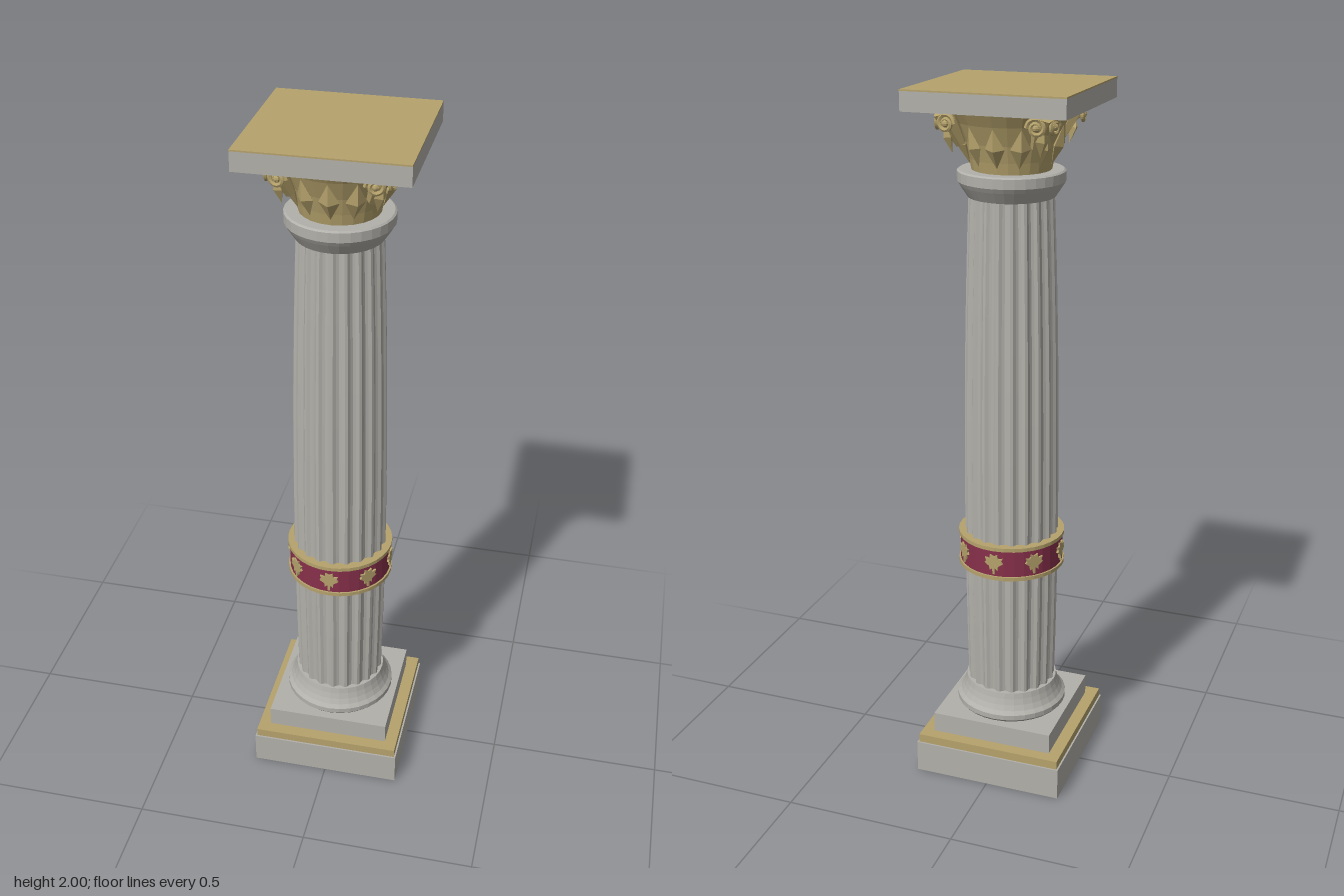
import * as THREE from 'three';

export function createModel() {
  const root = new THREE.Group();
  root.name = 'column';
  const mat = (name, color, flatShading = false) => {
    const m = new THREE.MeshStandardMaterial({ color, flatShading });
    m.name = name;
    return m;
  };
  const stone = mat('stone', 0xb2b0aa, true);
  const gold = mat('gold', 0xb5a26c, true);
  const crimson = mat('crimson', 0x87304a, true);

  const add = (name, geo, material, parent = root) => {
    const mesh = new THREE.Mesh(geo, material);
    mesh.name = name;
    parent.add(mesh);
    return mesh;
  };
  // square slab between two heights
  const slab = (name, half, y0, y1, material) => {
    add(name, new THREE.BoxGeometry(half * 2, y1 - y0, half * 2), material).position.y = (y0 + y1) / 2;
  };
  // turned part from [radius, height] pairs, listed from bottom to top
  const turned = (name, pts, material, sides = 32) =>
    add(name, new THREE.LatheGeometry(pts.map(([r, y]) => new THREE.Vector2(r, y)), sides), material);
  // group turned about the column axis
  const around = (name, angle) => {
    const g = new THREE.Group();
    g.name = name;
    g.rotation.y = angle;
    root.add(g);
    return g;
  };

  // stepped base
  slab('plinth', 0.22, 0, 0.095, stone);
  slab('plinthTrim', 0.215, 0.095, 0.12, gold);
  slab('upperStep', 0.18, 0.12, 0.18, stone);
  turned('baseMoulding', [[0.155, 0.18], [0.162, 0.188], [0.162, 0.203], [0.152, 0.213],
    [0.144, 0.228], [0.138, 0.245], [0.134, 0.262], [0.1, 0.264]], stone);

  // fluted shaft with a slight swelling
  const flute = [1, 1, 0.955, 0.935, 0.955];
  const shaft = new THREE.CylinderGeometry(1, 1, 1.46, 100, 14, true);
  const p = shaft.attributes.position;
  for (let i = 0; i < p.count; i++) {
    const t = p.getY(i) / 1.46 + 0.5;
    const r = (0.128 + 0.0334 * t - 0.0464 * t * t) * flute[(i % 101) % 5];
    p.setXYZ(i, p.getX(i) * r, 0.255 + t * 1.46, p.getZ(i) * r);
  }
  shaft.computeVertexNormals();
  add('flutedShaft', shaft, stone);

  // painted band with gold rims
  turned('band', [[0.12, 0.645], [0.148, 0.645], [0.148, 0.735], [0.12, 0.735]], crimson);
  for (const y of [0.64, 0.73]) {
    turned('bandRim', [[0.12, y], [0.153, y], [0.153, y + 0.011], [0.12, y + 0.011]], gold);
  }

  // leaf ornaments on the band
  const half = [[0.003, -0.032], [0.004, -0.014], [0.012, -0.02], [0.013, -0.008], [0.027, 0.002],
    [0.022, 0.008], [0.026, 0.018], [0.014, 0.015], [0.011, 0.02], [0.011, 0.028]];
  const outline = [...half, [0, 0.023], ...half.map(([x, y]) => [-x, y]).reverse()];
  const leafShape = new THREE.Shape(outline.map(([x, y]) => new THREE.Vector2(x, y)));
  const ornament = new THREE.ExtrudeGeometry(leafShape, { depth: 0.007, bevelEnabled: false });
  for (let i = 0; i < 8; i++) {
    add('bandLeaf', ornament, gold, around('bandOrnament', i * Math.PI / 4)).position.set(0, 0.69, 0.145);
  }

  // neck collar
  turned('collar', [[0.105, 1.705], [0.118, 1.708], [0.126, 1.72], [0.138, 1.738], [0.145, 1.75],
    [0.145, 1.776], [0.14, 1.78], [0, 1.78]], stone);

  // flaring capital bell
  turned('capitalBell', [[0.107, 1.778], [0.113, 1.81], [0.125, 1.855], [0.145, 1.905],
    [0.167, 1.945], [0, 1.945]], gold, 24);

  // pointed leaves around the bell
  const leaf = new THREE.OctahedronGeometry(1).scale(0.027, 0.055, 0.017);
  for (let i = 0; i < 12; i++) {
    const mesh = add('capitalLeaf', leaf, gold, around('capitalLeafPosition', i * Math.PI / 6));
    mesh.position.set(0, 1.848, 0.127);
    mesh.rotation.x = 0.3;
  }

  // paired scrolls and a drooping leaf under each slab corner
  const spiral = [];
  for (let i = 0; i <= 20; i++) {
    const a = i / 20 * Math.PI * 3.2;
    const r = 0.025 - 0.018 * i / 20;
    spiral.push(new THREE.Vector3(Math.cos(a) * r, Math.sin(a) * r, 0));
  }
  const scroll = new THREE.TubeGeometry(new THREE.CatmullRomCurve3(spiral), 36, 0.006, 6);
  const knob = new THREE.SphereGeometry(0.01, 8, 6);
  for (let i = 0; i < 4; i++) {
    const corner = around('cornerScrolls', Math.PI / 4 + i * Math.PI / 2);
    for (const s of [-1, 1]) {
      const pair = new THREE.Group();
      pair.name = 'scroll';
      pair.position.set(s * 0.026, 1.912, 0.197);
      pair.rotation.y = s * 0.6;
      pair.scale.x = s;
      corner.add(pair);
      add('scrollCurl', scroll, gold, pair);
      add('scrollEye', knob, gold, pair);
    }
    const stem = add('scrollStem', new THREE.CylinderGeometry(0.03, 0.014, 0.1, 6), gold, corner);
    stem.position.set(0, 1.897, 0.168);
    stem.rotation.x = 0.5;
    const tip = add('cornerLeaf', leaf, gold, corner);
    tip.position.set(0, 1.875, 0.18);
    tip.rotation.x = 0.25;
    tip.scale.set(0.7, 0.8, 0.8);
  }

  // top slab with gilded face
  slab('topSlab', 0.22, 1.945, 1.996, stone);
  slab('topFace', 0.22, 1.996, 2, gold);
  return root;
}
